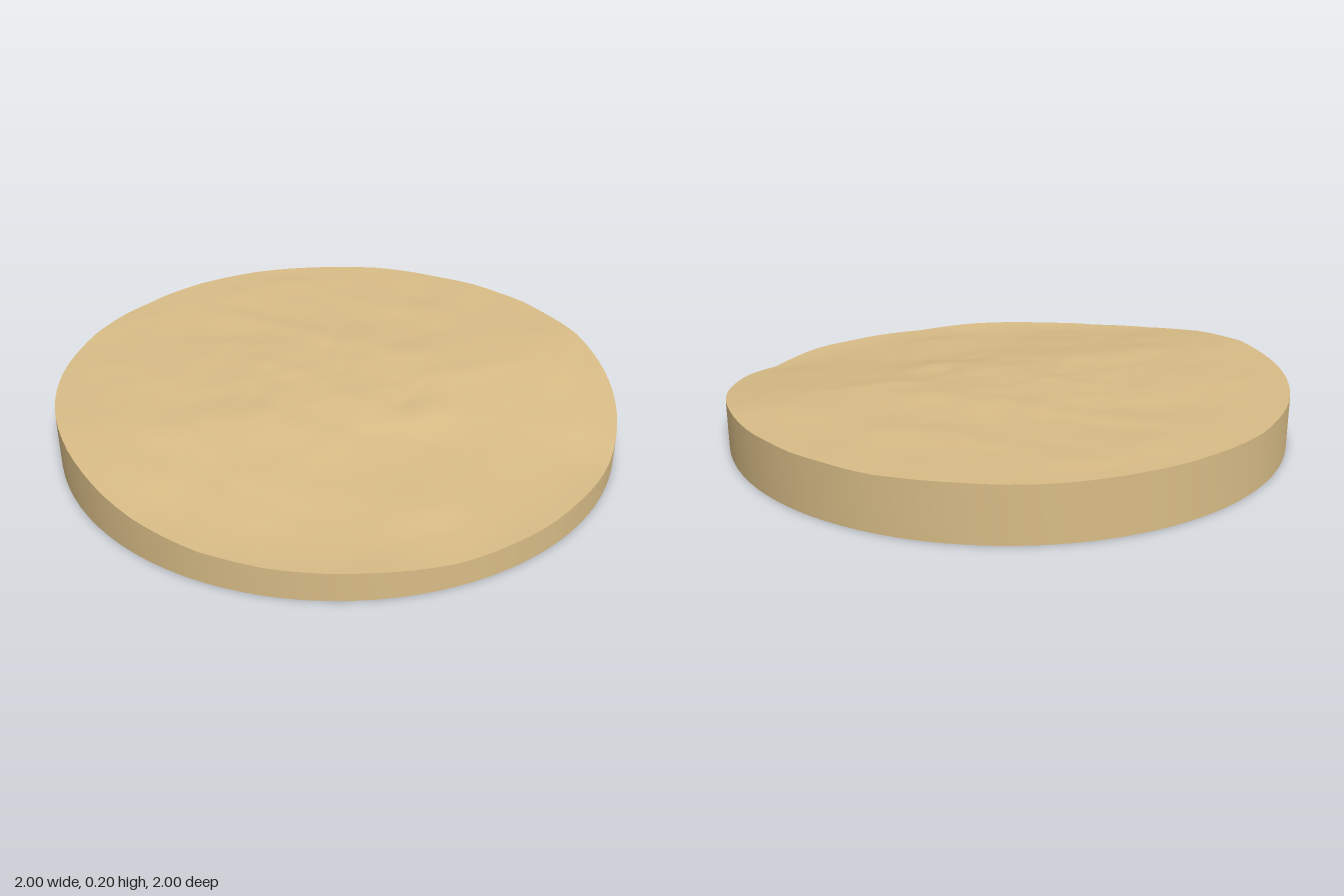
import * as THREE from 'three';

const SEGMENTS = 96;
const RINGS = 40;

// Rim heights every 15 degrees, from the front (+z) round through +x
const RIM = [
  0.085, 0.092, 0.1, 0.093, 0.13, 0.162, 0.186, 0.188,
  0.19, 0.186, 0.193, 0.189, 0.192, 0.195, 0.189, 0.194,
  0.19, 0.196, 0.198, 0.172, 0.135, 0.111, 0.104, 0.1,
];

// Slope of the ground from back to front: [z, height]
const SLOPE = [
  [-1, 0.19], [-0.1, 0.186], [0.1, 0.176], [0.3, 0.152],
  [0.5, 0.126], [0.7, 0.108], [1, 0.088],
];

// Small mounds and hollows: [x, z, radius, height]
const MOUNDS = [
  [0, 0.76, 0.14, 0.013], [-0.45, 0.5, 0.16, 0.008], [0.62, 0.5, 0.12, 0.01],
  [-0.6, -0.35, 0.13, 0.006], [0.15, 0.3, 0.1, 0.009], [-0.3, 0.2, 0.12, 0.007],
  [0.45, -0.5, 0.12, 0.005], [-0.12, -0.8, 0.12, 0.005], [0.25, 0.08, 0.12, -0.006],
];

function hash(i, j) {
  const s = Math.sin(i * 127.1 + j * 311.7) * 43758.5453;
  return s - Math.floor(s);
}

function noise(x, z) {
  const i = Math.floor(x), j = Math.floor(z);
  const ease = t => t * t * (3 - 2 * t);
  const u = ease(x - i), v = ease(z - j);
  const a = THREE.MathUtils.lerp(hash(i, j), hash(i + 1, j), u);
  const b = THREE.MathUtils.lerp(hash(i, j + 1), hash(i + 1, j + 1), u);
  return THREE.MathUtils.lerp(a, b, v) * 2 - 1;
}

function rimHeight(angle) {
  const t = (angle / (Math.PI * 2)) * RIM.length;
  const i = Math.floor(t);
  const base = THREE.MathUtils.lerp(RIM[i % RIM.length], RIM[(i + 1) % RIM.length], t - i);
  return base + 0.002 * noise(Math.sin(angle) * 9 + 40, Math.cos(angle) * 9);
}

function slopeHeight(z) {
  let k = 0;
  while (k < SLOPE.length - 2 && z > SLOPE[k + 1][0]) k++;
  const [z0, h0] = SLOPE[k], [z1, h1] = SLOPE[k + 1];
  return THREE.MathUtils.lerp(h0, h1, (z - z0) / (z1 - z0));
}

function groundHeight(r, angle) {
  const x = r * Math.sin(angle), z = r * Math.cos(angle);
  let h = slopeHeight(z);
  for (const [mx, mz, size, height] of MOUNDS) {
    h += height * Math.exp(-((x - mx) ** 2 + (z - mz) ** 2) / (size * size));
  }
  const wx = x + 0.1 * noise(x * 4, z * 4 + 9), wz = z + 0.1 * noise(x * 4 + 5, z * 4);
  h += 0.005 * noise(wx * 5, wz * 5) + 0.003 * noise(wx * 11 + 3, wz * 11);
  h = Math.min(h, 0.2);
  return THREE.MathUtils.lerp(h, rimHeight(angle), r ** 6);
}

// Closed rows of points, joined into a smooth skin
function skin(rows) {
  const index = [];
  for (let i = 0; i < rows.length - 1; i++) {
    for (let j = 0; j < SEGMENTS; j++) {
      const k = (j + 1) % SEGMENTS;
      const a = i * SEGMENTS + j, b = i * SEGMENTS + k;
      const c = a + SEGMENTS, d = b + SEGMENTS;
      index.push(a, c, d, a, d, b);
    }
  }
  const geometry = new THREE.BufferGeometry();
  geometry.setAttribute('position', new THREE.Float32BufferAttribute(rows.flat(2), 3));
  geometry.setIndex(index);
  geometry.computeVertexNormals();
  return geometry;
}

function row(r, heightAt) {
  return Array.from({ length: SEGMENTS }, (_, j) => {
    const angle = (j / SEGMENTS) * Math.PI * 2;
    return [r * Math.sin(angle), heightAt(angle), r * Math.cos(angle)];
  });
}

export function createModel() {
  const model = new THREE.Group();
  model.name = 'terrainDisc';
  const sand = new THREE.MeshStandardMaterial({ color: 0xd9bd87 });
  sand.name = 'sand';

  const add = (name, geometry) => {
    const mesh = new THREE.Mesh(geometry, sand);
    mesh.name = name;
    model.add(mesh);
    return mesh;
  };

  // Uneven ground, from a tiny middle ring out to the rim
  const rows = [];
  for (let i = 0; i <= RINGS; i++) {
    const r = Math.max(i / RINGS, 0.001);
    rows.push(row(r, angle => groundHeight(r, angle)));
  }
  add('ground', skin(rows));

  // Upright edge below the rim
  add('edge', skin([row(1, angle => groundHeight(1, angle)), row(1, () => 0)]));

  // Flat underside
  const underside = new THREE.CircleGeometry(1, SEGMENTS);
  underside.rotateX(Math.PI / 2);
  add('underside', underside);

  return model;
}
